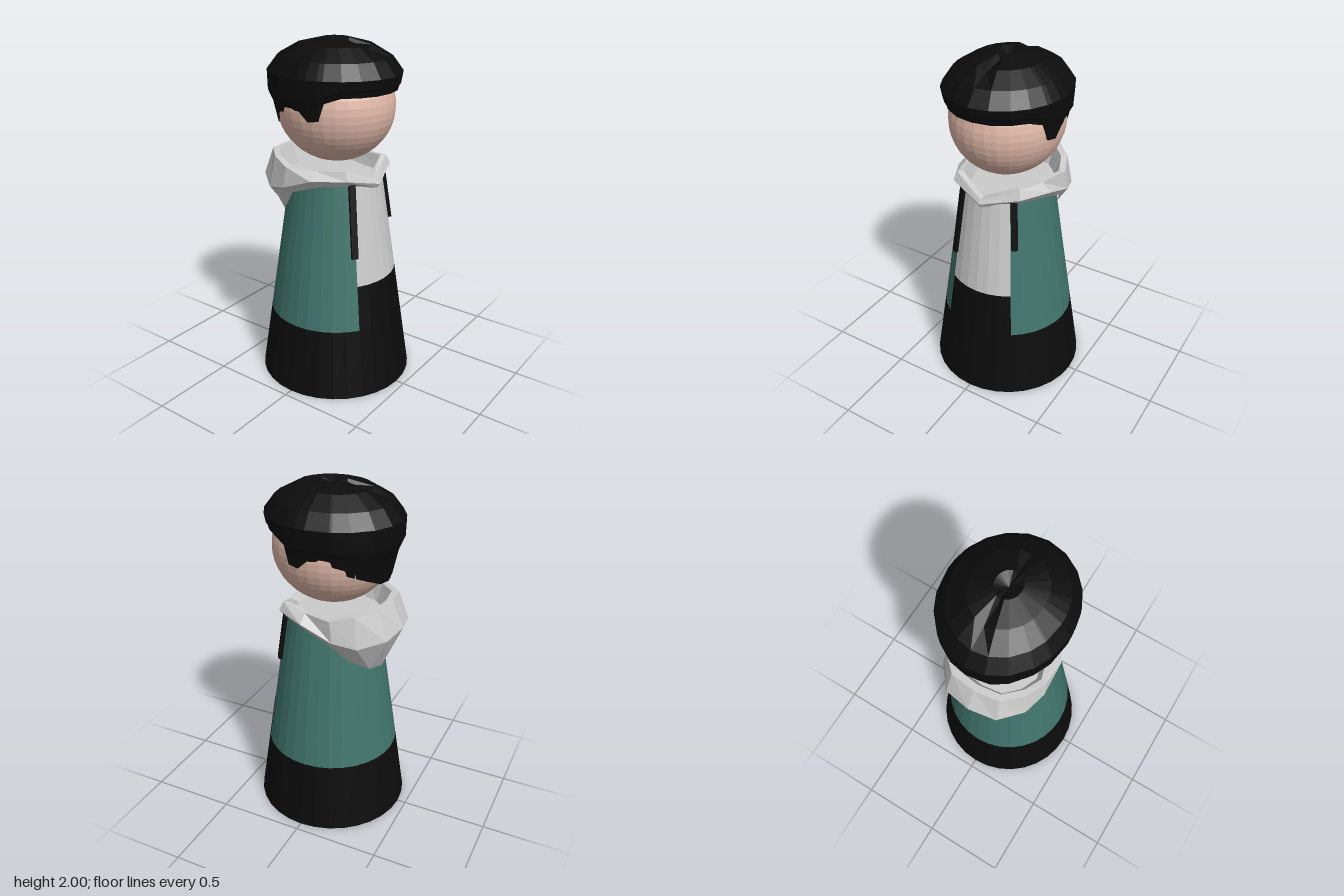
import * as THREE from 'three';

const mat = (color) => new THREE.MeshStandardMaterial({ color, flatShading: true });
const BLACK = mat(0x0c0c0c), TEAL = mat(0x41756c), SKIN = mat(0xe0b8a8), GREY = mat(0xcccccc);
const rad = THREE.MathUtils.degToRad;

// Skin closed rings of points, listed from the centre outwards and down
function loft(rings) {
  const n = rings[0].length, index = [];
  for (let i = 0; i < rings.length - 1; i++) {
    for (let j = 0; j < n; j++) {
      const k = (j + 1) % n;
      const a = i * n + j, b = a + n, c = (i + 1) * n + k, d = i * n + k;
      index.push(a, b, c);
      if (i > 0) index.push(a, c, d);
    }
  }
  const geo = new THREE.BufferGeometry();
  geo.setAttribute('position', new THREE.Float32BufferAttribute(rings.flat(2), 3));
  geo.setIndex(index);
  geo.computeVertexNormals();
  return geo;
}

// Complete a half ring (front to back on +x) with its mirror image
const mirror = (half) => [...half, ...half.slice(1, -1).reverse().map(([x, y, z]) => [-x, y, z])];

export function createModel() {
  const model = new THREE.Group();
  const add = (name, geo, material) => {
    const mesh = new THREE.Mesh(geo, material);
    mesh.name = name;
    model.add(mesh);
    return mesh;
  };

  // Tapered body, split into colour zones on one cone
  const SEG = 32, TOP = 1.24, step = Math.PI * 2 / SEG;
  const bodyRadius = (y) => 0.45 - 0.15 * y;
  const zone = (name, y0, y1, first, count, material) => add(name,
    new THREE.CylinderGeometry(bodyRadius(y1), bodyRadius(y0), y1 - y0, count, 1, true, first * step, count * step)
      .translate(0, (y0 + y1) / 2, 0), material);
  zone('trousers', 0, 0.405, 0, SEG, BLACK);
  zone('trouserFront', 0.405, 0.665, -3, 6, BLACK);
  zone('shirtFront', 0.665, TOP, -3, 6, GREY);
  zone('coat', 0.405, TOP, 3, SEG - 6, TEAL);
  add('base', new THREE.CircleGeometry(0.45, SEG).rotateX(Math.PI / 2), TEAL);

  // Drawstrings lying on the coat edges
  for (const [name, angle, y0] of [['rightDrawstring', -35.5, 0.83], ['leftDrawstring', 38, 0.96]]) {
    const mid = (y0 + 1.25) / 2;
    const geo = new THREE.BoxGeometry(0.036, 1.25 - y0, 0.03)
      .rotateX(-Math.atan(0.15)).translate(0, mid, bodyRadius(mid) + 0.005);
    add(name, geo, BLACK).rotation.y = rad(angle);
  }

  // Hood: outer lower edge, widest ridge and rim, front to back
  const lower = [[0, 1.2, 0.285], [0.2, 1.24, 0.19], [0.27, 1.22, 0.03], [0.275, 1.17, -0.1],
    [0.21, 1.05, -0.2], [0.12, 0.98, -0.285], [0, 0.95, -0.31]];
  const ridge = [[0, 1.225, 0.3], [0.215, 1.28, 0.23], [0.305, 1.27, 0.05], [0.31, 1.2, -0.14],
    [0.27, 1.17, -0.27], [0.16, 1.2, -0.4], [0, 1.22, -0.43]];
  const rim = [[0, 1.25, 0.285], [0.2, 1.33, 0.21], [0.25, 1.315, 0.05], [0.3, 1.32, -0.12],
    [0.25, 1.35, -0.24], [0.15, 1.36, -0.34], [0, 1.36, -0.36]];
  const shrink = (s, y) => rim.map((p) => [p[0] * s, y ?? p[1], p[2] * s]);
  add('hood', loft([shrink(0, 1.245), shrink(0.78, 1.245), shrink(0.89), rim, ridge, lower].map(mirror)), GREY);

  // Head
  add('head', new THREE.SphereGeometry(1, 32, 24).scale(0.315, 0.315, 0.34).translate(0, 1.635, 0), SKIN);

  // Hair: angle from the front and height of the cut edge
  const cut = [[0, 1.735], [18, 1.735], [36, 1.735], [52, 1.735], [67, 1.705], [72, 1.61], [82, 1.6],
    [91, 1.65], [110, 1.65], [112, 1.615], [126, 1.57], [145, 1.53], [163, 1.49], [180, 1.48]];
  const hairRing = (rule) => mirror(cut.map(([deg, edge]) => {
    const c = Math.cos(rad(deg)), back = Math.max(0, -c);
    const [s, y] = rule(edge, back, deg % 180 === 0);
    return [deg % 180 === 0 ? 0 : 0.345 * Math.sin(rad(deg)) * s, y, (c > 0 ? 0.38 : 0.4) * c * s];
  }));
  const upper = (edge) => Math.max(1.71, edge + 0.04);
  add('hair', loft([
    hairRing(() => [0, 1.97]),
    hairRing((e, b, parting) => [0.2, parting ? 1.975 : 2]), // centre parting
    hairRing((e, b, parting) => [0.55, parting ? 1.95 : 1.968]),
    hairRing(() => [0.84, 1.905]),
    hairRing(() => [1, 1.825]),
    hairRing((e, b) => [0.975 + 0.02 * b, upper(e)]),
    hairRing((e, b) => [0.95 - 0.04 * b, e + 0.65 * (upper(e) - e)]),
    hairRing((e, b) => [0.93 - 0.1 * b, e]),
    hairRing((e, b) => [0.8 - 0.1 * b, e + 0.02]),
  ]), BLACK);

  return model;
}
